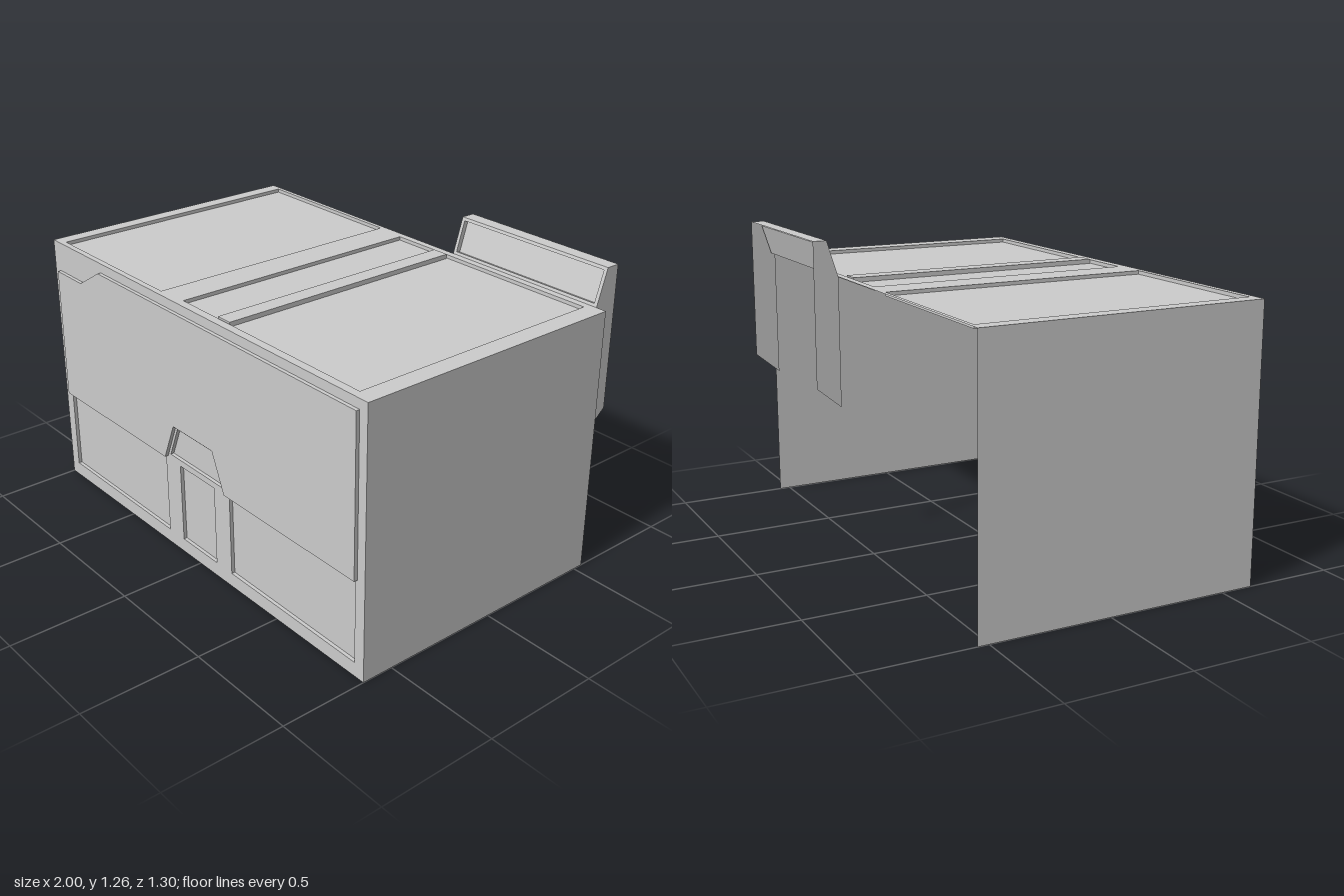
import * as THREE from 'three';

const material = new THREE.MeshStandardMaterial({ color: 0xcccccc, side: THREE.DoubleSide, flatShading: true });

function addMesh(group, name, geometry) {
  const mesh = new THREE.Mesh(geometry, material);
  mesh.name = name;
  group.add(mesh);
  return mesh;
}

const toVectors = (points) => points.map(([x, y]) => new THREE.Vector2(x, y));
const rect = (x0, y0, x1, y1) => [[x0, y0], [x1, y0], [x1, y1], [x0, y1]];

// Thin edge walls joining an outline at height z0 to the same outline at z1
function edgeWalls(points, z0, z1) {
  const positions = [];
  points.forEach(([ax, ay], i) => {
    const [bx, by] = points[(i + 1) % points.length];
    positions.push(ax, ay, z0, bx, by, z0, bx, by, z1, ax, ay, z0, bx, by, z1, ax, ay, z1);
  });
  const geometry = new THREE.BufferGeometry();
  geometry.setAttribute('position', new THREE.Float32BufferAttribute(positions, 3));
  geometry.computeVertexNormals();
  return geometry;
}

// Sheet facing local +z, pressed in or out where it has insets (which may nest)
function pressedSheet(name, outline, z, insets = []) {
  const group = new THREE.Group();
  group.name = name;
  const shape = new THREE.Shape(toVectors(outline));
  for (const inset of insets) {
    shape.holes.push(new THREE.Path(toVectors(inset.outline)));
    group.add(pressedSheet(inset.name, inset.outline, z + inset.offset, inset.insets));
    addMesh(group, inset.name + 'Edge', edgeWalls(inset.outline, z, z + inset.offset));
  }
  addMesh(group, name + 'Face', new THREE.ShapeGeometry(shape).translate(0, 0, z));
  return group;
}

export function createModel() {
  const model = new THREE.Group();
  model.name = 'openBackedCabinet';
  const front = 0.635, back = -0.545, height = 1.117, depth = 0.015;

  // Front wall with raised door and recessed lower panels
  const door = [
    [-0.96, 0.415], [-0.2, 0.415], [-0.13, 0.58], [0.13, 0.58], [0.2, 0.415],
    [0.96, 0.415], [0.96, 1.077], [-0.63, 1.077], [-0.775, 0.99], [-0.96, 0.99],
  ];
  const handle = [[-0.18, 0.43], [0.18, 0.43], [0.123, 0.565], [-0.123, 0.565]];
  const frontWall = pressedSheet('frontWall', rect(-1, 0, 1, height), 0, [
    { name: 'raisedDoor', outline: door, offset: depth },
    { name: 'handleRecess', outline: handle, offset: -depth },
    { name: 'rightLowerPanel', outline: rect(-0.95, 0.06, -0.215, 0.403), offset: -depth },
    { name: 'centreLowerPanel', outline: rect(-0.115, 0.06, 0.115, 0.403), offset: -depth },
    { name: 'leftLowerPanel', outline: rect(0.215, 0.06, 0.95, 0.403), offset: -depth },
  ]);
  frontWall.position.z = front;
  model.add(frontWall);

  // Top with two recesses, one holding a raised strip
  const top = pressedSheet('top', rect(-1, -front, 1, -back), 0, [
    { name: 'rightTopRecess', outline: rect(-0.94, -0.61, -0.225, 0.527), offset: -depth },
    {
      name: 'leftTopRecess', outline: rect(-0.09, -0.6, 0.92, 0.515), offset: -depth,
      insets: [{ name: 'topStrip', outline: rect(0.125, -0.595, 0.197, 0.51), offset: depth + 0.004 }],
    },
  ]);
  top.rotation.x = -Math.PI / 2;
  top.position.y = height;
  model.add(top);

  // Side walls
  for (const side of [-1, 1]) {
    const wall = addMesh(model, side > 0 ? 'leftWall' : 'rightWall', new THREE.PlaneGeometry(front - back, height));
    wall.rotation.y = side * Math.PI / 2;
    wall.position.set(side, height / 2, (front + back) / 2);
  }

  // Rear hood: sloping recessed front, flat top and two hanging side flanges
  const hood = new THREE.Group();
  hood.name = 'rearHood';
  model.add(hood);
  const x0 = 0.2, x1 = 0.955, hoodTop = 1.265, hoodFront = -0.592, hoodBack = -0.65;
  const rise = hoodTop - height, run = back - hoodFront;
  const slope = Math.hypot(rise, run);
  const hoodFace = pressedSheet('hoodFront', rect(x0, 0, x1, slope), 0, [
    { name: 'hoodRecess', outline: rect(x0 + 0.015, 0.012, x1 - 0.015, slope - 0.013), offset: -0.02 },
  ]);
  hoodFace.position.set(0, height, back);
  hoodFace.rotation.x = -Math.atan2(run, rise);
  hood.add(hoodFace);

  const hoodLid = addMesh(hood, 'hoodTop', new THREE.PlaneGeometry(x1 - x0, hoodFront - hoodBack));
  hoodLid.rotation.x = -Math.PI / 2;
  hoodLid.position.set((x0 + x1) / 2, hoodTop, (hoodFront + hoodBack) / 2);

  const flange = new THREE.Shape(toVectors([
    [-back, 0.577], [-hoodBack, 0.665], [-hoodBack, hoodTop], [-hoodFront, hoodTop], [-back, height],
  ]));
  for (const x of [x0, x1]) {
    const mesh = addMesh(hood, 'hoodFlange', new THREE.ShapeGeometry(flange));
    mesh.rotation.y = Math.PI / 2;
    mesh.position.x = x;
  }
  return model;
}
